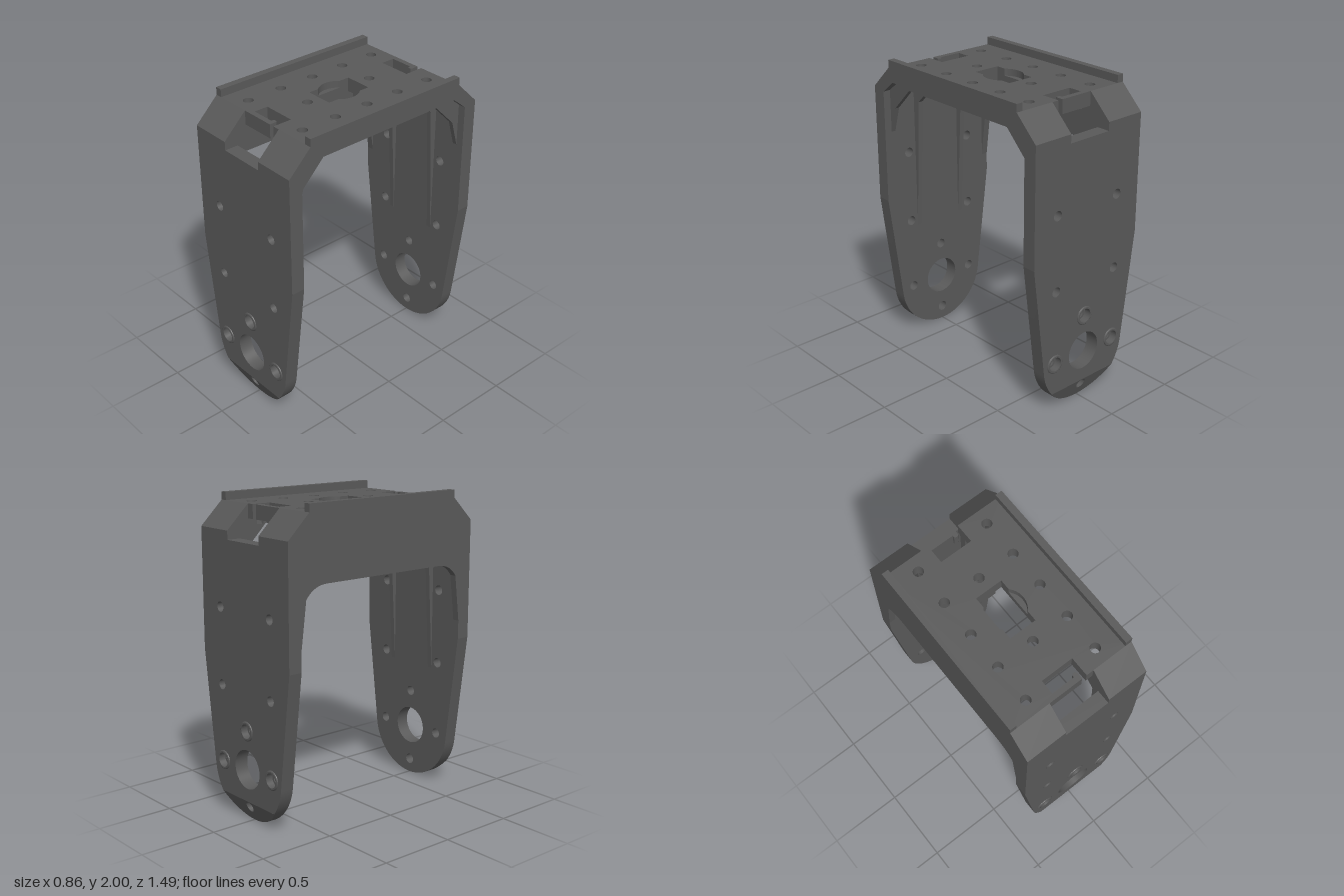
import * as THREE from 'three';
import { toCreasedNormals } from 'three/addons/utils/BufferGeometryUtils.js';

const darkGrey = new THREE.MeshStandardMaterial({ color: 0x595959 });
darkGrey.name = 'darkGrey';

const IN = 0.65, OUT = 0.74, TOP = 1.95, UNDER = 1.86;

function part(name, geometry, parent) {
  const mesh = new THREE.Mesh(toCreasedNormals(geometry, 0.12), darkGrey);
  mesh.name = name;
  parent.add(mesh);
}

const polygon = (pts) => new THREE.Shape(pts.map(([a, b]) => new THREE.Vector2(a, b)));
const mirrored = (pts) => [...pts, ...pts.map(([a, b]) => [-a, b]).reverse()];

function addHole(shape, x, y, r) {
  const hole = new THREE.Path();
  hole.absarc(x, y, r, 0, Math.PI * 2, true);
  shape.holes.push(hole);
}

const extrude = (shape, depth) =>
  new THREE.ExtrudeGeometry(shape, { depth, bevelEnabled: false, curveSegments: 32 });

// (x, z) outline, standing between two heights
const slab = (shape, y0, y1) =>
  extrude(shape, y1 - y0).rotateX(Math.PI / 2).translate(0, y1, 0);

// (z, y) outline, running between two x positions
const across = (shape, x0, x1) =>
  extrude(shape, x1 - x0).rotateY(-Math.PI / 2).translate(x1, 0, 0);

function hexagon(x, z, r) {
  return Array.from({ length: 6 }, (_, i) => {
    const a = (i * Math.PI) / 3;
    return [x + r * Math.cos(a), z + r * Math.sin(a)];
  });
}

// One leg with its shoulder and ribs, on the +z side
function makeLeg() {
  const leg = new THREE.Group();
  const cut = 0.6655, tangent = 0.133;

  // Tapered plate with bearing and screw holes, drawn anticlockwise
  const plate = new THREE.Shape();
  plate.moveTo(-0.43, 1.745);
  plate.lineTo(-0.43, 1.03);
  plate.absarc(0, 0.34, 0.34, Math.PI + tangent, Math.PI + cut, false);
  plate.absarc(0, 0.34, 0.34, -cut, -tangent, false);
  plate.lineTo(0.43, 1.03);
  plate.lineTo(0.43, 1.745);
  addHole(plate, 0, 0.34, 0.125);
  const collars = [[-0.247, 0.34], [0.247, 0.34], [0, 0.587]];
  collars.forEach(([x, y]) => addHole(plate, x, y, 0.046));
  for (const x of [-0.247, 0.247]) for (const y of [0.833, 1.325]) addHole(plate, x, y, 0.032);
  part('legPlate', extrude(plate, OUT - IN).translate(0, 0, IN), leg);

  // Rounded foot, outer face sloping inwards
  const foot = new THREE.Shape();
  foot.absarc(0, 0.34, 0.34, Math.PI + cut, Math.PI * 2 - cut, false);
  foot.closePath();
  addHole(foot, 0, 0.093, 0.034);
  const footGeo = extrude(foot, OUT - IN).translate(0, 0, IN);
  const p = footGeo.attributes.position;
  for (let i = 0; i < p.count; i++) {
    if (p.getZ(i) > 0.7) p.setZ(i, OUT - (0.13 - p.getY(i)) * 0.385);
  }
  part('foot', footGeo, leg);

  // Raised counterbored collars
  const sleeve = [[0.064, -0.005], [0.061, 0.004], [0.056, 0.007], [0.046, 0.007], [0.046, -0.04],
    [0.032, -0.04], [0.032, -0.09], [0.046, -0.09]].map(([r, h]) => new THREE.Vector2(r, h));
  for (const [x, y] of collars) {
    part('screwCollar', new THREE.LatheGeometry(sleeve, 64).rotateX(Math.PI / 2).translate(x, y, OUT), leg);
  }

  // Chamfered shoulders either side of the notch, and stiffening ribs
  const shoulder = polygon([[OUT, 1.745], [OUT, 1.8], [0.585, TOP], [0.585, UNDER],
    [0.55, UNDER], [IN, 1.78], [IN, 1.745]]);
  const rib = polygon([[0.655, 0.7], [0.6, 1.67], [0.45, 1.82], [0.4, 1.87], [0.55, 1.87], [0.655, 1.78]]);
  for (const s of [-1, 1]) {
    const c = s * 0.2925;
    part('shoulder', across(shoulder, c - 0.1375, c + 0.1375), leg);
    part('legRib', across(rib, s * 0.177 - 0.016, s * 0.177 + 0.016), leg);
  }

  // Crossbar under the inner end of the slot
  part('slotBar', new THREE.BoxGeometry(0.32, 0.045, 0.03).translate(0, 1.8425, 0.43), leg);
  return leg;
}

export function createModel() {
  const model = new THREE.Group();
  model.name = 'bracket';

  const front = makeLeg();
  front.name = 'frontLeg';
  const back = makeLeg();
  back.name = 'backLeg';
  back.rotation.y = Math.PI;
  model.add(front, back);

  // Top plate outline with a hooked cable slot at each end
  const end = [[0.43, 0.585], [0.107, 0.585], [0.107, 0.458], [-0.108, 0.458], [-0.108, 0.55],
    [0.045, 0.55], [0.045, 0.538], [0.052, 0.53], [0.068, 0.53], [0.075, 0.538],
    [0.075, 0.585], [-0.43, 0.585]];
  const outline = [...end, ...end.map(([x, z]) => [x, -z]).reverse()];
  const screws = [[0, -0.245], [0, 0.245]];
  for (const x of [-0.247, 0.247]) for (let i = -2; i <= 2; i++) screws.push([x, i * 0.245]);

  // Lower layer has a rectangular opening, upper layer adds a round recess
  const lower = polygon(outline), upper = polygon(outline);
  lower.holes.push(polygon([[-0.09, -0.155], [0.09, -0.155], [0.09, 0.155], [-0.09, 0.155]]));
  const a = Math.acos(0.09 / 0.125);
  const recess = new THREE.Path();
  recess.moveTo(-0.09, -0.155);
  recess.lineTo(0.09, -0.155);
  recess.absarc(0, 0, 0.125, -a, a, false);
  recess.lineTo(0.09, 0.155);
  recess.lineTo(-0.09, 0.155);
  recess.absarc(0, 0, 0.125, Math.PI - a, Math.PI + a, false);
  upper.holes.push(recess);
  for (const [x, z] of screws) {
    addHole(lower, x, z, 0.032);
    addHole(upper, x, z, 0.032);
  }
  part('topPlateLower', slab(lower, UNDER, 1.905), model);
  part('topPlateUpper', slab(upper, 1.905, TOP), model);

  // Hexagonal nut pockets beneath the plate
  for (const [x, z] of screws) {
    const nut = polygon(hexagon(x, z, 0.1));
    nut.holes.push(polygon(hexagon(x, z, 0.062)));
    part('nutPocket', slab(nut, 1.82, UNDER), model);
  }

  // Raised lips along both long edges
  for (const s of [-1, 1]) {
    part('topLip', new THREE.BoxGeometry(0.045, 0.05, 1.17).translate(s * 0.4075, 1.975, 0), model);
  }

  // Side wall with a rounded lower opening
  const wall = new THREE.Shape();
  wall.moveTo(-0.45, 1.53);
  wall.lineTo(0.45, 1.53);
  wall.quadraticCurveTo(0.56, 1.53, 0.612, 1.45);
  wall.lineTo(0.65, 1.15);
  wall.lineTo(0.66, 1.15);
  wall.lineTo(0.66, 1.78);
  wall.lineTo(0.56, 1.87);
  wall.lineTo(-0.56, 1.87);
  wall.lineTo(-0.66, 1.78);
  wall.lineTo(-0.66, 1.15);
  wall.lineTo(-0.65, 1.15);
  wall.lineTo(-0.612, 1.45);
  wall.quadraticCurveTo(-0.56, 1.53, -0.45, 1.53);
  part('sideWall', across(wall, -0.43, -0.385), model);

  // Arched rib following the open edge
  const edge = polygon([
    ...mirrored([[0.65, 1.5], [0.6, 1.67], [0.45, 1.82]]),
    ...mirrored([[-0.655, 1.5], [-0.655, 1.78], [-0.55, 1.87]]),
  ]);
  part('edgeRib', across(edge, 0.35, 0.38), model);

  return model;
}
